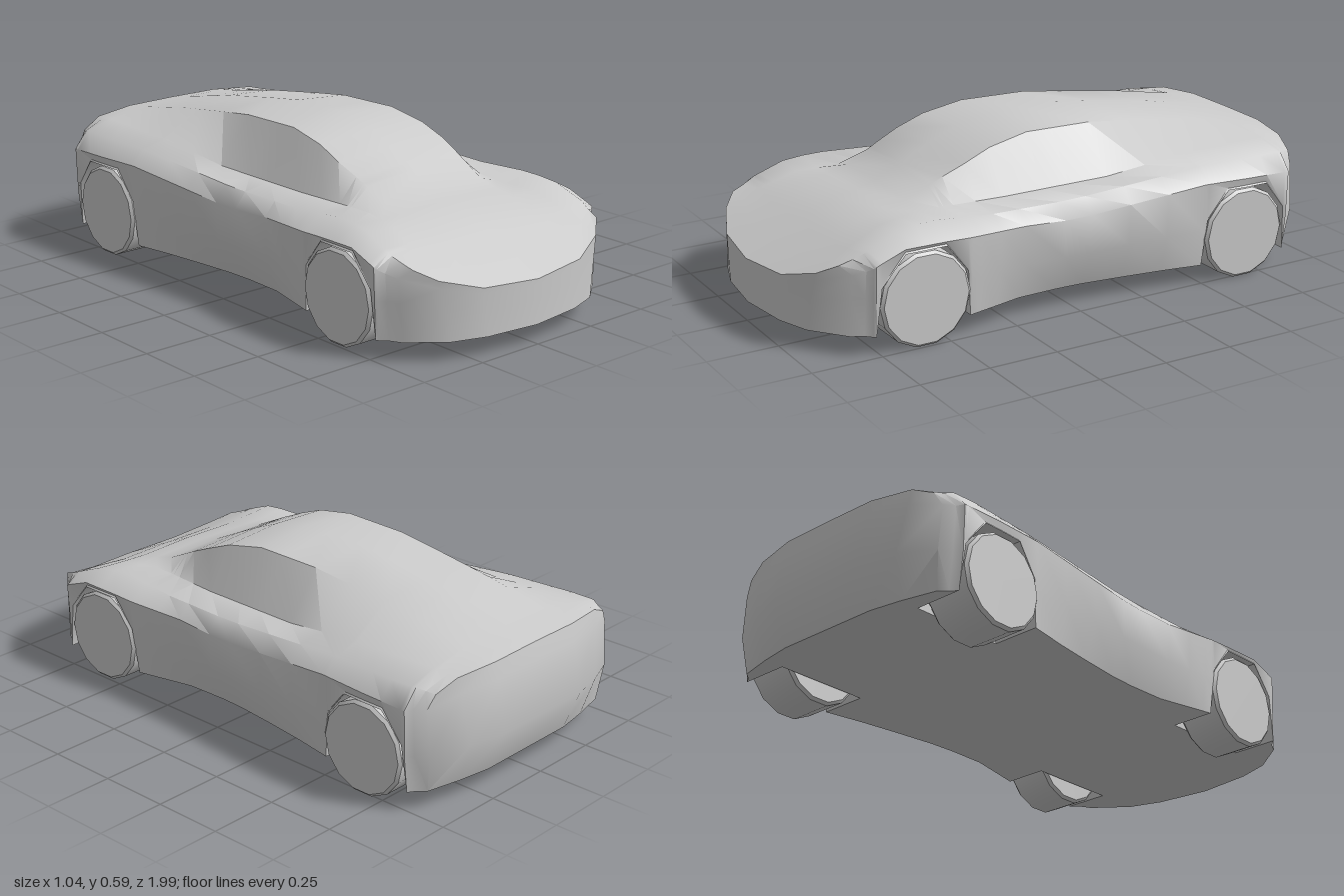
import * as THREE from 'three';
import { toCreasedNormals } from 'three/addons/utils/BufferGeometryUtils.js';

const material = new THREE.MeshStandardMaterial({ color: 0xcccccc, side: THREE.DoubleSide });

// linear interpolation through [key, value] pairs with ascending keys
function at(table, k) {
  if (k <= table[0][0]) return table[0][1];
  for (let i = 1; i < table.length; i++) {
    const [k0, v0] = table[i - 1], [k1, v1] = table[i];
    if (k <= k1) return v0 + (v1 - v0) * (k - k0) / (k1 - k0);
  }
  return table[table.length - 1][1];
}

// lengthwise curves of the body, from tail to nose
const FLOOR = 0.07, WELL = 0.32;
const halfWidth = [[-1, 0.47], [-0.85, 0.52], [-0.7, 0.52], [-0.5, 0.51], [0, 0.484], [0.2, 0.475],
  [0.42, 0.498], [0.77, 0.5], [1, 0.45]];
const sillWidth = [[-1, 0.45], [-0.85, 0.5], [-0.5, 0.495], [-0.3, 0.46], [0, 0.425], [0.2, 0.43],
  [0.42, 0.48], [0.77, 0.49], [1, 0.44]];
const archHeight = [[-0.85, FLOOR], [-0.835, 0.235], [-0.755, 0.335], [-0.595, 0.335], [-0.515, 0.235], [-0.5, FLOOR],
  [0.415, FLOOR], [0.43, 0.235], [0.51, 0.335], [0.66, 0.335], [0.745, 0.235], [0.765, FLOOR]];
const sideY = [[-1, 0.36], [-0.5, 0.37], [0, 0.33], [0.5, 0.35], [0.67, 0.352], [0.77, 0.31], [1, 0.28]];
const shoulderX = [[-1, 0.44], [-0.8, 0.475], [-0.5, 0.46], [0, 0.44], [0.3, 0.43], [0.55, 0.42], [0.77, 0.44], [1, 0.42]];
const shoulderY = [[-1, 0.41], [-0.85, 0.425], [-0.5, 0.42], [0, 0.385], [0.3, 0.385], [0.55, 0.402],
  [0.66, 0.388], [0.77, 0.345], [1, 0.31]];
const beltX = [[-1, 0.36], [-0.6, 0.37], [-0.2, 0.345], [0.2, 0.325], [0.5, 0.29], [0.77, 0.34], [1, 0.36]];
const beltY = [[-1, 0.445], [-0.8, 0.452], [-0.5, 0.442], [-0.2, 0.405], [0.2, 0.396], [0.5, 0.39],
  [0.66, 0.38], [0.77, 0.34], [1, 0.275]];
const roofX = [[-1, 0.2], [-0.6, 0.21], [-0.2, 0.222], [0.05, 0.225], [0.3, 0.24], [0.5, 0.22], [1, 0.22]];
const roofY = [[-1, 0.455], [-0.85, 0.47], [-0.6, 0.515], [-0.22, 0.567], [0.05, 0.572], [0.22, 0.54],
  [0.38, 0.47], [0.53, 0.398], [0.66, 0.375], [0.77, 0.33], [1, 0.236]];
const roofMidY = [[-1, 0.457], [-0.85, 0.477], [-0.6, 0.528], [-0.22, 0.585], [0.05, 0.59], [0.22, 0.552],
  [0.38, 0.477], [0.53, 0.405], [0.66, 0.38], [0.77, 0.332], [0.97, 0.24], [1, 0.225]];
const stations = [-1, -0.93, -0.85, -0.835, -0.755, -0.675, -0.595, -0.515, -0.5, -0.35, -0.2, -0.05, 0.05, 0.2, 0.3,
  0.38, 0.415, 0.43, 0.51, 0.585, 0.66, 0.745, 0.765, 0.8, 0.9, 1];

// rounding of nose and tail in plan, and of the tail in profile
const nosePlan = [[0, 0.98], [0.25, 0.85], [0.38, 0.57], [0.5, 0]];
const tailPlan = [[0.2, 1], [0.36, 0.73], [0.46, 0.45], [0.52, 0]];
const tailProfile = [[0.07, 0.6], [0.21, 1], [0.3, 0.94], [0.46, 0.68]];
function warp([x, y, z]) {
  const a = Math.abs(x);
  if (z > 0.77) z = 0.77 + (z - 0.77) * at(nosePlan, a);
  if (z < -0.85) z = -0.85 + (z + 0.85) * at(tailPlan, a) * at(tailProfile, y);
  return [x, y, z];
}

// half cross-section from the floor centre round the +x side to the roof centre
function halfSection(z) {
  const arch = at(archHeight, z), widest = at(sideY, z), sill = at(sillWidth, z), w = at(halfWidth, z);
  const raised = (arch - FLOOR) / 0.265;
  return [
    [0, FLOOR], [0.2, FLOOR], [WELL, FLOOR], [WELL, arch],
    [sill + (w - sill) * raised, arch],
    [w - 0.005, Math.max(0.2, arch + 0.006)],
    [w, Math.max(widest, arch + 0.012)],
    [at(shoulderX, z), at(shoulderY, z)],
    [at(beltX, z), at(beltY, z)],
    [at(roofX, z), at(roofY, z)],
    [0, at(roofMidY, z)],
  ].map(([x, y]) => [x, y, z]);
}
const mirror = ([x, y, z]) => [-x, y, z];

function bodyGeometry() {
  const positions = [];
  const quad = (a, b, c, d) => {
    const p = [a, b, c, d].map(warp);
    for (const i of [0, 1, 2, 0, 2, 3]) positions.push(...p[i]);
  };

  // skin, floor and wheel wells
  const rings = stations.map((z) => {
    const half = halfSection(z);
    return [...half, ...half.slice(1, -1).reverse().map(mirror)];
  });
  for (let i = 0; i < rings.length - 1; i++) {
    const r = rings[i], s = rings[i + 1], n = r.length;
    for (let j = 0; j < n; j++) {
      const k = (j + 1) % n;
      quad(r[j], r[k], s[k], s[j]);
    }
  }

  // nose and tail panels
  for (const z of [-1, 1]) {
    const h = halfSection(z);
    const edge = [h[4], h[5], h[6], h[7]];
    const column = (low, high) => edge.map((e) => {
      const t = (e[1] - edge[0][1]) / (edge[3][1] - edge[0][1]);
      return low.map((v, i) => v + (high[i] - v) * t);
    });
    const right = [column(h[0], h[10]), column(h[1], h[9]), column(h[2], h[8]), edge];
    const columns = [...right.slice(1).reverse().map((c) => c.map(mirror)), ...right];
    for (let c = 0; c < columns.length - 1; c++) for (let r = 0; r < 3; r++) {
      const [a, b] = z > 0 ? [columns[c], columns[c + 1]] : [columns[c + 1], columns[c]];
      quad(a[r], b[r], b[r + 1], a[r + 1]);
    }
  }

  const geometry = new THREE.BufferGeometry();
  geometry.setAttribute('position', new THREE.Float32BufferAttribute(positions, 3));
  return toCreasedNormals(geometry, 0.75);
}

// solid wheel with slightly bevelled rims, axle along x
function wheelGeometry(radius, width) {
  const h = width / 2, b = 0.01;
  const profile = [[0, -h], [radius - b, -h], [radius, b - h], [radius, h - b], [radius - b, h], [0, h]]
    .map(([x, y]) => new THREE.Vector2(x, y));
  const geometry = new THREE.LatheGeometry(profile, 14).rotateZ(Math.PI / 2);
  return toCreasedNormals(geometry, 0.6);
}

export function createModel() {
  const car = new THREE.Group();
  car.name = 'car';
  const add = (name, geometry) => {
    const mesh = new THREE.Mesh(geometry, material);
    mesh.name = name;
    car.add(mesh);
    return mesh;
  };

  add('body', bodyGeometry());

  for (const [end, z, outer] of [['front', 0.585, 0.497], ['rear', -0.67, 0.515]]) {
    for (const [side, sign] of [['Left', 1], ['Right', -1]]) {
      const inner = 0.328;
      add(`${end}${side}Wheel`, wheelGeometry(0.165, outer - inner))
        .position.set(sign * (outer + inner) / 2, 0.165, z);
    }
  }
  return car;
}
